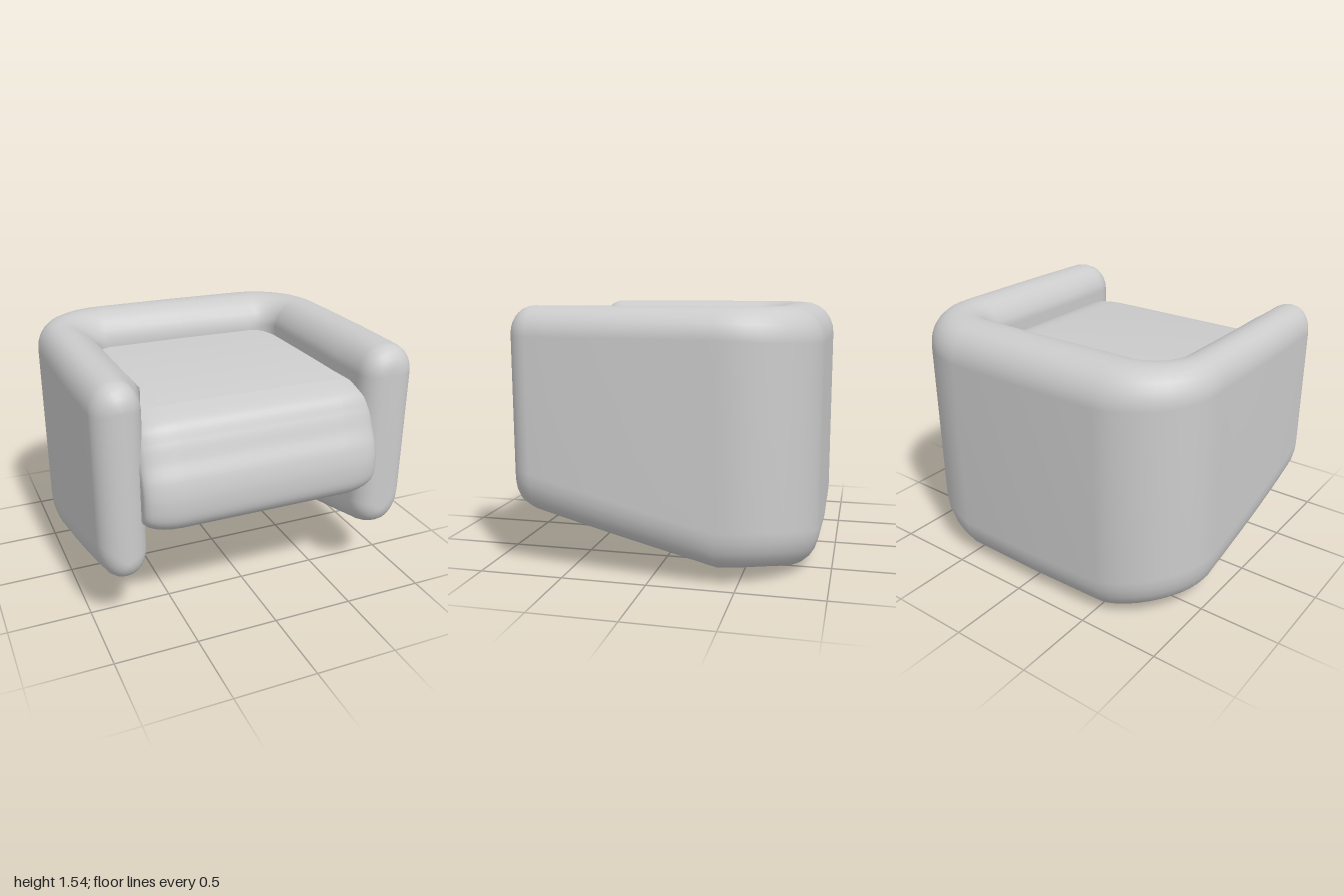
import * as THREE from 'three';
import { toCreasedNormals } from 'three/addons/utils/BufferGeometryUtils.js';

const BACK_Z = -0.71, BACK_HALF = 0.213, CORNER = 0.33;
const FRONT = 0.82, END = 0.13, TOP = 1.55;

// Arms differ slightly: the right one is slimmer, with padding low on its inner side
const LEFT_ARM = { x: 0.83, half: 0.17, pad: 0.02 };
const RIGHT_ARM = { x: 0.86, half: 0.14, pad: 0.1 };

// Underside rises from the back towards the front
const bottomAt = (z) => Math.max(0.01, 0.375 + (Math.min(z, 0.74) - 0.74) * 0.25);

// Stations along one half of the U: front of an arm to the middle of the back
function halfPath(arm) {
  const stations = [];
  const x = (z) => arm.x - 0.04 * Math.max(0, z) ** 2;
  const base = { nx: 1, nz: 0, half: arm.half, inset: 0, lift: 0, round: 0.17 };
  // rounded front end
  for (let i = 0; i <= 6; i++) {
    const a = (1 - i / 6) * Math.PI / 2;
    const z = FRONT - END + END * Math.sin(a);
    stations.push({ ...base, x: x(z), z, inset: END * (1 - Math.cos(a)), pad: 0 });
  }
  // straight arm
  const z0 = FRONT - END, z1 = BACK_Z + CORNER;
  for (let i = 1; i < 8; i++) {
    const z = z0 + (z1 - z0) * i / 8;
    stations.push({ ...base, x: x(z), z, pad: arm.pad * Math.min(1, i / 2) });
  }
  // back corner, its underside lifted a little
  for (let i = 0; i <= 10; i++) {
    const t = i / 10, a = t * Math.PI / 2;
    const nx = Math.cos(a), nz = -Math.sin(a);
    stations.push({
      x: arm.x - CORNER + CORNER * nx, z: z1 + CORNER * nz, nx, nz, inset: 0,
      half: arm.half + (BACK_HALF - arm.half) * t, pad: arm.pad * (1 - t),
      lift: 0.05 * Math.sin(t * Math.PI), round: 0.17 + 0.04 * t,
    });
  }
  return stations;
}

// Padded U-shaped wall: a tall pill section swept around the path
function wallGeometry() {
  const mirrored = halfPath(RIGHT_ARM).map((s) => ({ ...s, x: -s.x, nx: -s.nx })).reverse();
  const left = halfPath(LEFT_ARM);
  const middle = { ...left[left.length - 1], x: 0, z: BACK_Z - 0.008 };
  const stations = [...left, middle, ...mirrored];
  const ARC = 12, N = 2 * (ARC + 1);
  const pos = [], index = [];
  for (const s of stations) {
    const h = s.half - s.inset, k = h / s.half;
    const top = TOP - s.inset, bottom = bottomAt(s.z) + s.lift + s.inset;
    for (let j = 0; j < N; j++) {
      const upper = j <= ARC;
      const a = Math.PI * (upper ? j / ARC : 1 + (j - ARC - 1) / ARC);
      const c = Math.cos(a), outer = c > 0;
      const ry = (upper ? s.round : outer ? 0.24 : 0.18) * k;
      const y = (upper ? top - ry : bottom + ry) + ry * Math.sin(a);
      let u = h * Math.sign(c) * Math.abs(c) ** 0.9;
      // inner padding swells below the top roll
      if (!outer) u -= s.pad * Math.abs(c) * Math.min(1, (TOP - y) / 0.17);
      pos.push(s.x + s.nx * u, y, s.z + s.nz * u);
    }
  }
  for (let i = 0; i < stations.length - 1; i++) {
    for (let j = 0; j < N; j++) {
      const a = i * N + j, b = i * N + (j + 1) % N;
      index.push(a, a + N, b, b, a + N, b + N);
    }
  }
  // close both front ends
  const last = (stations.length - 1) * N;
  for (let j = 1; j < N - 1; j++) {
    index.push(0, j, j + 1, last, last + j + 1, last + j);
  }
  const geo = new THREE.BufferGeometry();
  geo.setAttribute('position', new THREE.Float32BufferAttribute(pos, 3));
  geo.setIndex(index);
  geo.computeVertexNormals();
  return geo;
}

// Thick seat cushion: side profile (z, y) with a bulging front, extruded across
function seatGeometry() {
  const shape = new THREE.Shape();
  shape.moveTo(-0.65, 0.655);
  shape.lineTo(0.72, 0.655);
  shape.splineThru([
    [0.84, 0.685], [0.91, 0.76], [0.925, 0.88], [0.905, 1.0],
    [0.86, 1.1], [0.82, 1.2], [0.76, 1.29], [0.62, 1.34],
  ].map(([z, y]) => new THREE.Vector2(z, y)));
  shape.lineTo(-0.65, 1.335);
  shape.closePath();
  const halfWidth = 0.725, bevel = 0.22, size = 0.08;
  const depth = 2 * (halfWidth - bevel);
  const geo = new THREE.ExtrudeGeometry(shape, {
    depth, curveSegments: 24, steps: 1, bevelEnabled: true,
    bevelThickness: bevel, bevelSize: size, bevelOffset: -size, bevelSegments: 6,
  });
  geo.translate(0, 0, -depth / 2);
  geo.rotateY(-Math.PI / 2);
  geo.translate(-0.02, 0, 0);
  return toCreasedNormals(geo, 0.7);
}

export function createModel() {
  const group = new THREE.Group();
  group.name = 'armchair';
  const material = new THREE.MeshStandardMaterial({ color: 0xcccccc });
  const add = (name, geometry) => {
    const mesh = new THREE.Mesh(geometry, material);
    mesh.name = name;
    group.add(mesh);
  };
  add('armsAndBack', wallGeometry());
  add('seatCushion', seatGeometry());
  return group;
}
